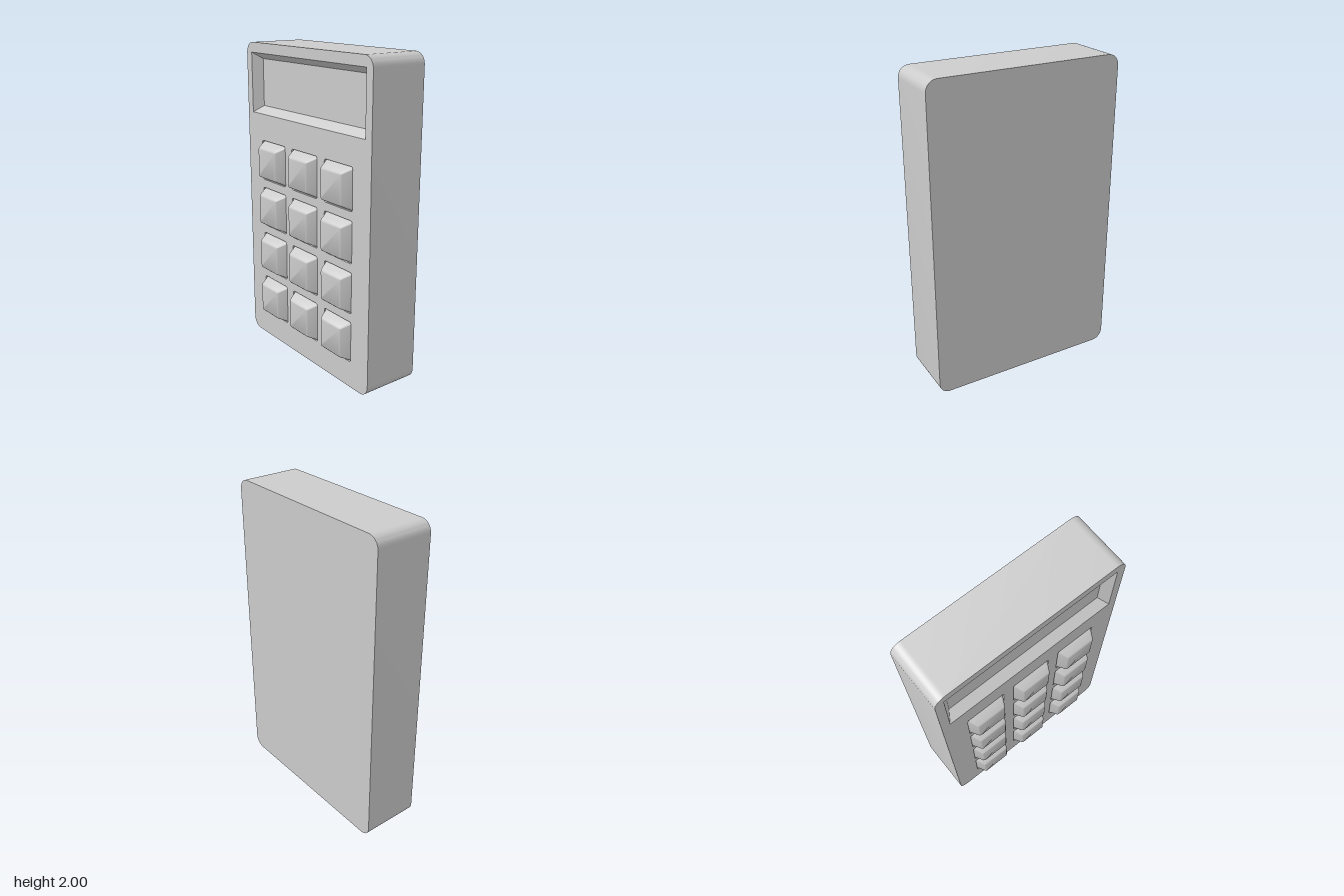
import * as THREE from 'three';
import { toCreasedNormals } from 'three/addons/utils/BufferGeometryUtils.js';

const FRONT = 0.155, BACK = -0.214;
const KEY_X = [-0.333, 0, 0.333];
const KEY_Y = [0.301, 0.617, 0.933, 1.249];
const HOLE = 0.131; // half size of a key well
const material = new THREE.MeshStandardMaterial({ color: 0xcccccc });

// Counter-clockwise rounded rectangle; n segments per corner (0 = sharp corner)
function roundedRect(cx, cy, hw, hh, r = 0, n = 0) {
  const points = [];
  [[1, 1], [-1, 1], [-1, -1], [1, -1]].forEach(([sx, sy], q) => {
    for (let i = 0; i <= n; i++) {
      const a = (q + (n ? i / n : 0.5)) * Math.PI / 2;
      points.push(new THREE.Vector2(
        cx + sx * (hw - r) + r * Math.cos(a),
        cy + sy * (hh - r) + r * Math.sin(a)));
    }
  });
  return points;
}

// Walls through a list of { points, z } rings, with optional flat ends
function loft(rings, { endCap = true, startCap = false } = {}) {
  const pos = [], index = [];
  const n = rings[0].points.length;
  rings.forEach(({ points, z }) => points.forEach(p => pos.push(p.x, p.y, z)));
  for (let k = 0; k < rings.length - 1; k++) {
    for (let i = 0; i < n; i++) {
      const a = k * n + i, b = k * n + (i + 1) % n;
      index.push(a, b, b + n, a, b + n, a + n);
    }
  }
  const last = (rings.length - 1) * n;
  for (let i = 1; i < n - 1; i++) {
    if (endCap) index.push(last, last + i, last + i + 1);
    if (startCap) index.push(0, i + 1, i);
  }
  const geometry = new THREE.BufferGeometry();
  geometry.setAttribute('position', new THREE.Float32BufferAttribute(pos, 3));
  geometry.setIndex(index);
  return toCreasedNormals(geometry, 0.7);
}

export function createModel() {
  const model = new THREE.Group();
  const add = (name, geometry, parent = model) => {
    const mesh = new THREE.Mesh(geometry, material);
    mesh.name = name;
    parent.add(mesh);
    return mesh;
  };

  // Case: side walls and back
  const outline = roundedRect(0, 1, 0.622, 1, 0.07, 10);
  add('case', loft(
    [{ points: outline, z: BACK }, { points: outline, z: FRONT }],
    { endCap: false, startCap: true }));

  // Front panel with openings for the screen and keys
  const screenRim = roundedRect(0, 1.744, 0.567, 0.192);
  const panel = new THREE.Shape(outline);
  panel.holes.push(new THREE.Path(screenRim));
  for (const y of KEY_Y) for (const x of KEY_X) {
    panel.holes.push(new THREE.Path(roundedRect(x, y, HOLE, HOLE, 0.014, 4)));
  }
  add('frontPanel', new THREE.ShapeGeometry(panel)).position.z = FRONT;

  // Sunken screen with sloping sides
  add('screen', loft([
    { points: screenRim, z: FRONT },
    { points: roundedRect(0, 1.744, 0.526, 0.151), z: FRONT - 0.06 },
  ]));

  // Keys, each tapering up out of a shallow well
  const well = loft([FRONT, FRONT - 0.012].map(
    z => ({ points: roundedRect(0, 0, HOLE, HOLE, 0.014, 4), z })));
  const cap = loft([
    [0.129, 0.014, FRONT - 0.012],
    [0.098, 0.01, 0.206],
    [0.09, 0.006, 0.2125],
  ].map(([half, r, z]) => ({ points: roundedRect(0, 0, half, half, r, 4), z })));

  const keypad = new THREE.Group();
  keypad.name = 'keypad';
  model.add(keypad);
  for (const y of KEY_Y) for (const x of KEY_X) {
    const key = new THREE.Group();
    key.name = 'key';
    key.position.set(x, y, 0);
    add('keyWell', well, key);
    add('keyCap', cap, key);
    keypad.add(key);
  }
  return model;
}
